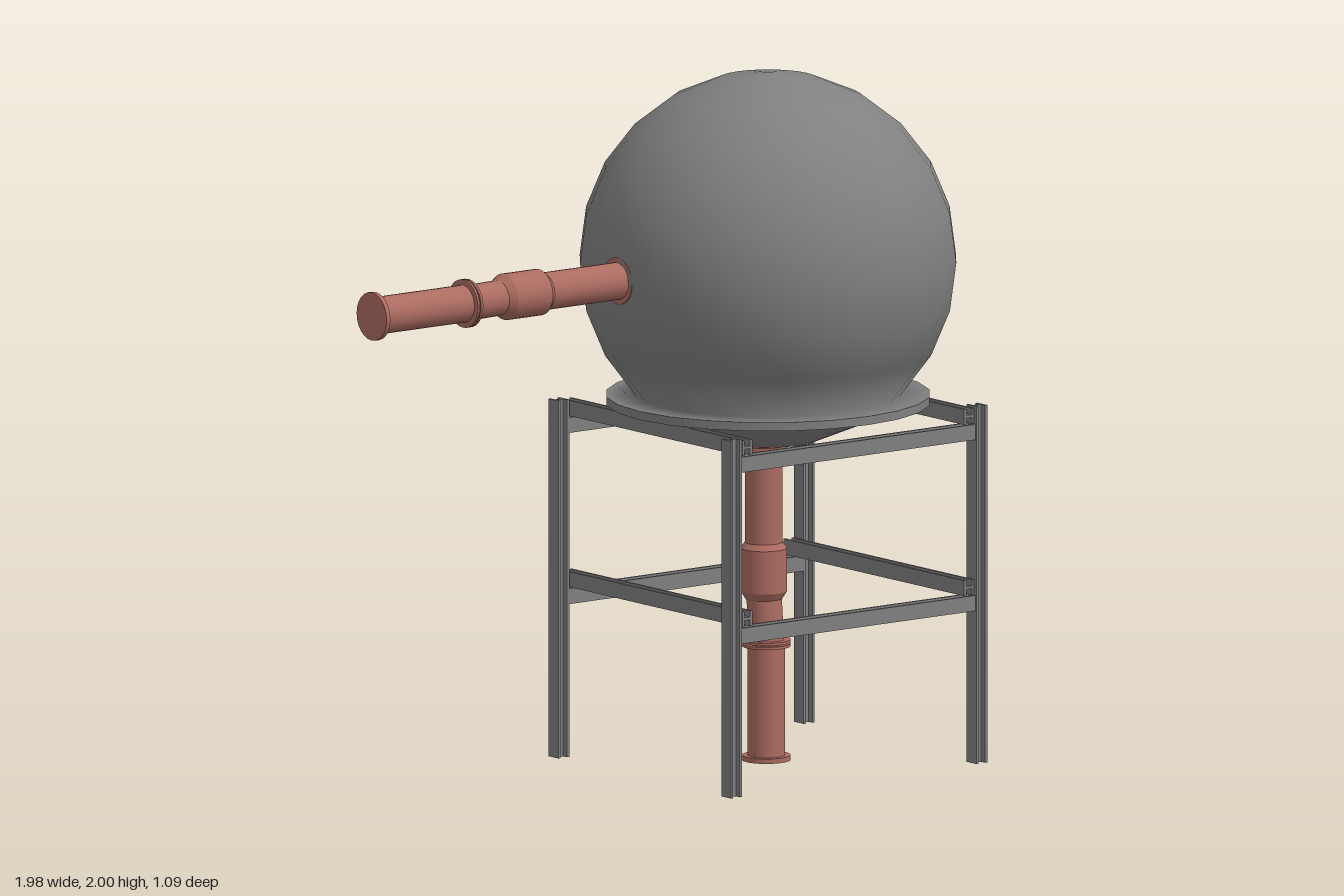
import * as THREE from 'three';

const CX = 0.445; // axis shared by the tank and its stand

const steel = new THREE.MeshStandardMaterial({ name: 'grey steel', color: 0x808080 });
const copper = new THREE.MeshStandardMaterial({ name: 'dull red pipe', color: 0xac6c61 });

function add(parent, geometry, material, name, x = 0, y = 0, z = 0) {
  const mesh = new THREE.Mesh(geometry, material);
  mesh.name = name;
  mesh.position.set(x, y, z);
  parent.add(mesh);
  return mesh;
}

const lathe = (points, sides) =>
  new THREE.LatheGeometry(points.map(([r, y]) => new THREE.Vector2(r, y)), sides);

// Rolled beam: flanges at +-x, web between them, extruded along z
function beamGeometry(length, width = 0.04, height = 0.045, t = 0.008) {
  const a = width / 2, b = height / 2, i = a - t, w = t / 2;
  const outline = [
    [-a, -b], [-i, -b], [-i, -w], [i, -w], [i, -b], [a, -b],
    [a, b], [i, b], [i, w], [-i, w], [-i, b], [-a, b],
  ].map(([x, y]) => new THREE.Vector2(x, y));
  const geometry = new THREE.ExtrudeGeometry(new THREE.Shape(outline), { depth: length, bevelEnabled: false });
  return geometry.translate(0, 0, -length / 2);
}

// Round tank with a flat mounting ring around its lower part
function createTank() {
  const tank = new THREE.Group();
  tank.name = 'tank';
  const R = 0.543, cy = 1.457, ringR = 0.466, low = 1.04, high = 1.065;
  const point = (deg) => {
    const a = THREE.MathUtils.degToRad(deg);
    return [Math.max(0, R * Math.cos(a)), cy + R * Math.sin(a)];
  };
  const upper = [[ringR, high], [0.38, high]];
  for (let d = -30; d <= 90; d += 15) upper.push(point(d));
  const lower = [point(-90), point(-75), point(-60), [0.36, low], [ringR, low]];
  add(tank, lathe(upper, 24), steel, 'tankShell', CX);
  add(tank, lathe(lower, 24), steel, 'tankBottom', CX);
  add(tank, lathe([[ringR, low], [ringR, high]], 24), steel, 'ringRim', CX);
  return tank;
}

// Four legs joined by two tiers of cross beams
function createStand() {
  const stand = new THREE.Group();
  stand.name = 'stand';
  for (const sx of [-1, 1]) {
    for (const sz of [-1, 1]) {
      const leg = add(stand, beamGeometry(1.04), steel, 'leg', CX + sx * 0.445, 0.52, sz * 0.402);
      leg.rotation.x = Math.PI / 2;
    }
  }
  for (const y of [0.467, 0.965]) {
    for (const s of [-1, 1]) {
      const cross = add(stand, beamGeometry(0.85), steel, 'crossBeam', CX, y, s * 0.4);
      cross.rotation.y = Math.PI / 2;
      add(stand, beamGeometry(0.84, 0.036), steel, 'sideBeam', CX + s * 0.402, y + 0.048, 0);
    }
  }
  return stand;
}

// Flanged pipe run along y: outer length, slanted joint, sleeve and inner length
function createPipe(name) {
  const pipe = new THREE.Group();
  pipe.name = name;
  const r = 0.054, shift = -0.012;
  const tube = (part, radius, from, to, z) =>
    add(pipe, new THREE.CylinderGeometry(radius, radius, to - from, 24), copper, part, 0, (from + to) / 2, z);

  tube('outerPipe', r, 0, 0.345, 0);
  tube('endFlange', 0.07, 0, 0.014, 0);
  tube('jointFlange', 0.07, 0.331, 0.339, 0);
  tube('jointFlange', 0.07, 0.343, 0.351, 0);

  // Slanted joint carries the pipe from one axis to the other
  const slant = new THREE.LineCurve3(new THREE.Vector3(0, 0.345, 0), new THREE.Vector3(0, 0.49, shift));
  add(pipe, new THREE.TubeGeometry(slant, 1, 0.051, 24), copper, 'slantedJoint');

  add(pipe, lathe([[0.051, 0.465], [0.067, 0.49], [0.067, 0.49], [0.067, 0.615], [0.067, 0.615], [r, 0.632]], 24),
    copper, 'sleeve', 0, 0, shift);
  tube('innerPipe', r, 0.61, 0.93, shift);
  tube('tankFlange', 0.068, 0.9, 0.915, shift);
  return pipe;
}

export function createModel() {
  const model = new THREE.Group();
  model.name = 'tankOnStand';
  model.add(createTank(), createStand());

  const drain = createPipe('drainPipe');
  drain.position.set(CX - 0.006, 0, 0);

  const side = createPipe('sidePipe');
  side.rotation.z = -Math.PI / 2;
  side.position.set(-0.99, 1.45, -0.003);

  model.add(drain, side);
  return model;
}
